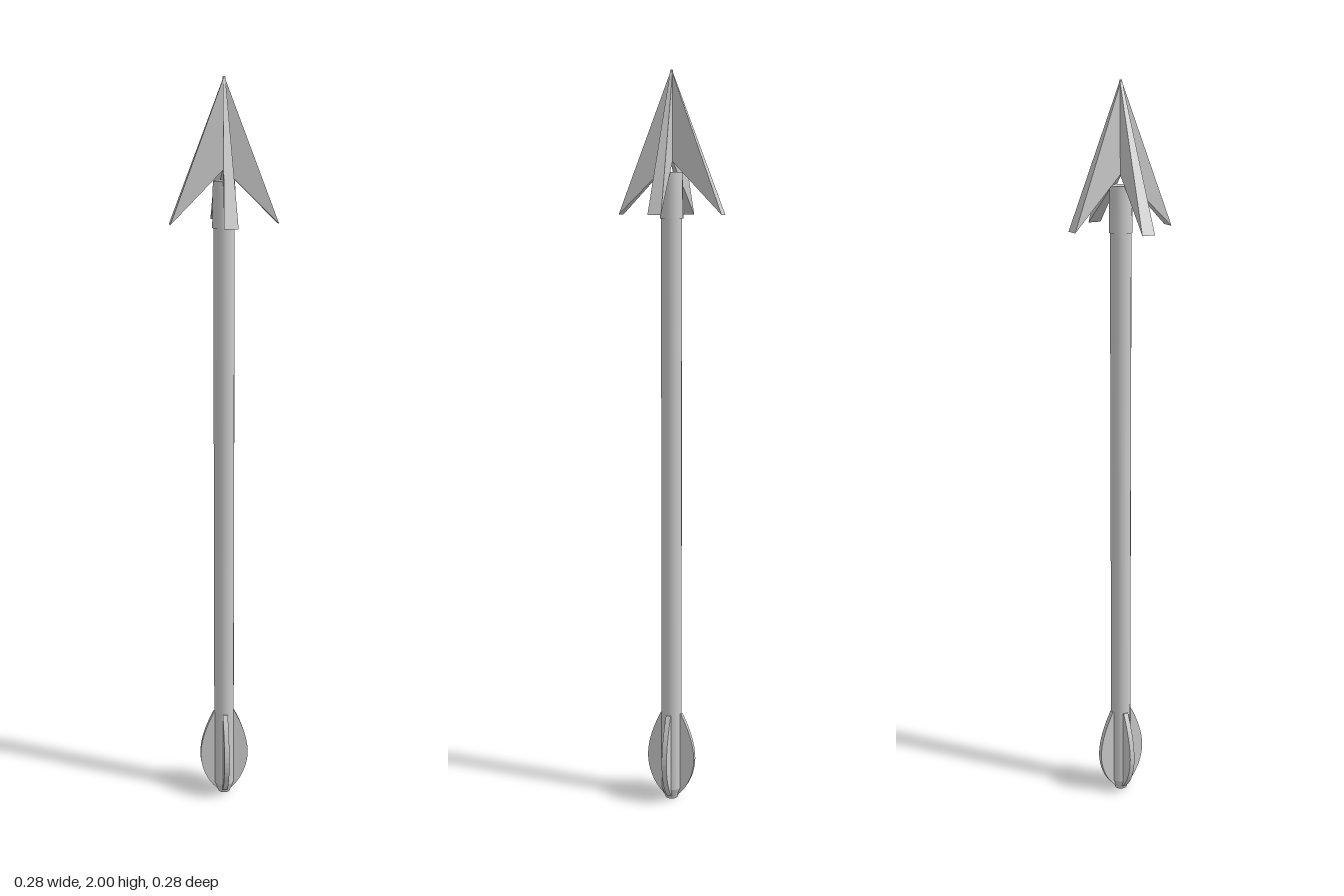
import * as THREE from 'three';

const material = new THREE.MeshStandardMaterial({ color: 0xcccccc });
const flatMaterial = new THREE.MeshStandardMaterial({ color: 0xcccccc, flatShading: true });

// Extrude a shape one unit either side of z = 0, then set its half thickness by radius.
function blade(shape, halfThickness) {
  const geometry = new THREE.ExtrudeGeometry(shape, { depth: 2, bevelEnabled: false, curveSegments: 8 });
  geometry.translate(0, 0, -1);
  const p = geometry.attributes.position;
  for (let i = 0; i < p.count; i++) p.setZ(i, p.getZ(i) * halfThickness(p.getX(i)));
  geometry.computeVertexNormals();
  return geometry;
}

// Four copies around the shaft.
function ring(name, geometry) {
  const group = new THREE.Group();
  group.name = name + 's';
  for (let i = 0; i < 4; i++) {
    const mesh = new THREE.Mesh(geometry, flatMaterial);
    mesh.name = name;
    mesh.rotation.y = i * Math.PI / 2;
    group.add(mesh);
  }
  return group;
}

function tube(name, radiusTop, radiusBottom, y0, y1) {
  const mesh = new THREE.Mesh(
    new THREE.CylinderGeometry(radiusTop, radiusBottom, y1 - y0, 16), material);
  mesh.name = name;
  mesh.position.y = (y0 + y1) / 2;
  return mesh;
}

export function createModel() {
  const arrow = new THREE.Group();
  arrow.name = 'arrow';

  // Shaft with a tapered nock below and a socket under the head
  arrow.add(
    tube('shaft', 0.028, 0.028, 0.03, 1.7),
    tube('nock', 0.028, 0.017, 0, 0.03),
    tube('headSocket', 0.029, 0.031, 1.62, 1.74),
  );

  // Swept-back barbs, thickening outward from the point
  const barb = new THREE.Shape();
  barb.moveTo(0, 2);
  barb.lineTo(0, 1.77);
  barb.lineTo(0.142, 1.63);
  barb.closePath();
  arrow.add(ring('barb', blade(barb, r => 0.003 + 0.107 * r)));

  // Rounded tail fins
  const fin = new THREE.Shape();
  fin.moveTo(0, 0.01);
  fin.lineTo(0.02, 0.01);
  fin.bezierCurveTo(0.05, 0.035, 0.068, 0.08, 0.068, 0.12);
  fin.bezierCurveTo(0.068, 0.165, 0.05, 0.21, 0.03, 0.25);
  fin.lineTo(0, 0.25);
  fin.closePath();
  arrow.add(ring('fin', blade(fin, () => 0.007)));

  return arrow;
}
